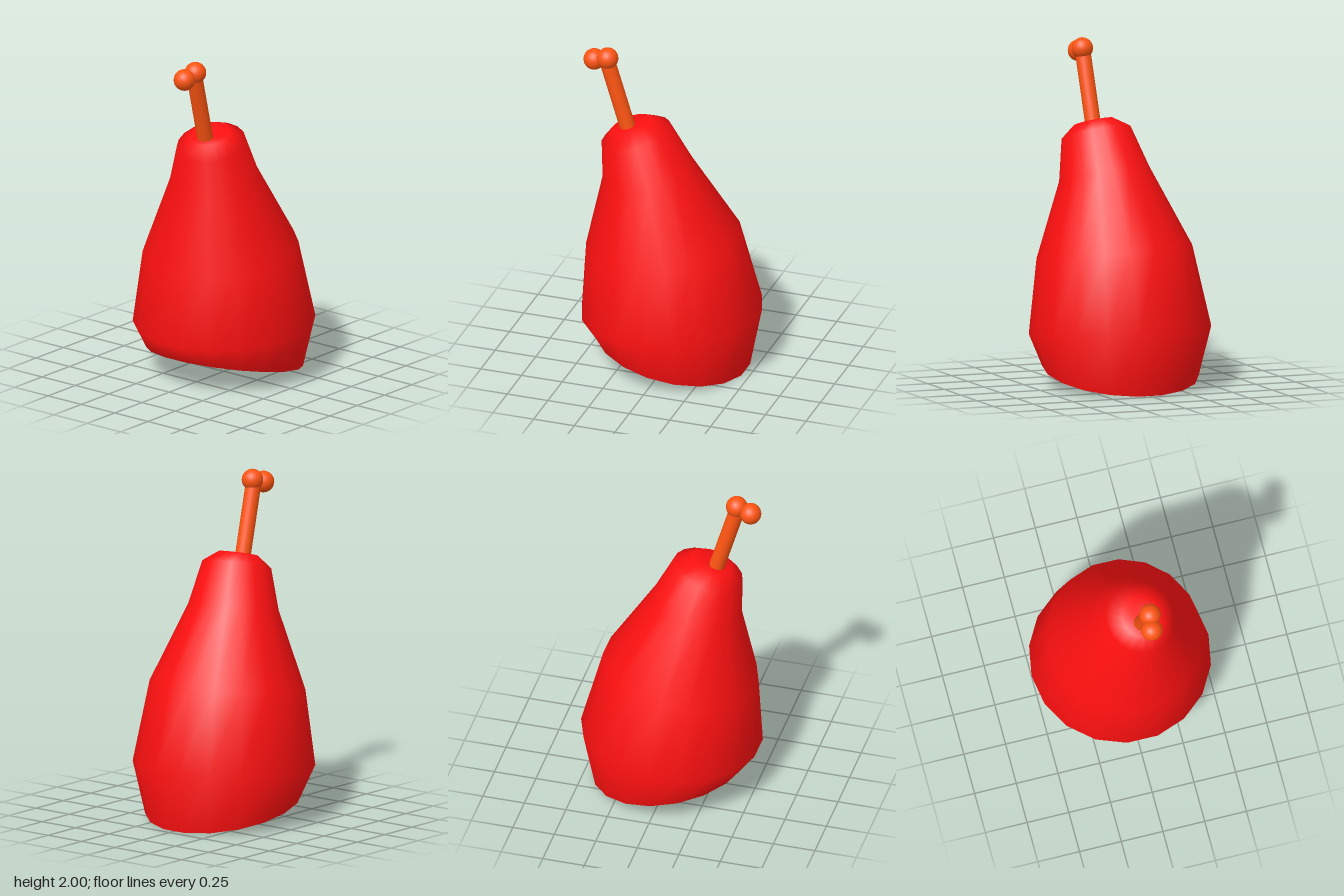
import * as THREE from 'three';

const SIDES = 18;
const paint = (color) => new THREE.MeshStandardMaterial({ color });

// A ring is a tilted circle: centre x, y, z, radius, rise towards +x, rise towards +z
const BODY = [
  [0, 0.093, -0.005, 0.455, 0, 0.0925],
  [0, 0.33, 0, 0.53, -0.01, -0.035],
  [0.015, 0.783, 0.05, 0.452, -0.0175, -0.065],
  [0.042, 1.228, 0.138, 0.262, -0.0225, -0.06],
  [0.068, 1.465, 0.2, 0.2, -0.0175, -0.06],
  [0.075, 1.525, 0.222, 0.115, -0.01, -0.035],
  [0.07, 1.505, 0.23, 0, 0, 0],
];

// Smooth skin through a list of rings
function loft(name, rings, material) {
  const position = [];
  const index = [];
  rings.forEach(([x, y, z, r, riseX, riseZ], i) => {
    for (let j = 0; j < SIDES; j++) {
      const c = Math.cos((j / SIDES) * Math.PI * 2);
      const s = Math.sin((j / SIDES) * Math.PI * 2);
      position.push(x + r * c, y + riseX * c + riseZ * s, z + r * s);
      if (i === 0) continue;
      const k = (j + 1) % SIDES;
      const a = (i - 1) * SIDES;
      const b = i * SIDES;
      index.push(a + j, b + j, a + k, a + k, b + j, b + k);
    }
  });
  const geometry = new THREE.BufferGeometry();
  geometry.setAttribute('position', new THREE.Float32BufferAttribute(position, 3));
  geometry.setIndex(index);
  geometry.computeVertexNormals();
  const mesh = new THREE.Mesh(geometry, material);
  mesh.name = name;
  return mesh;
}

// Circle lying in the slanted cut plane, slightly lowered if needed
function cutRing(x, z, r, drop = 0) {
  const [, y0, z0, r0, , rise] = BODY[0];
  const slope = rise / r0;
  return [x, y0 + slope * (z - z0) - drop, z, r, 0, slope * r];
}

export function createModel() {
  const group = new THREE.Group();
  const red = paint(0xff1010);
  const orange = paint(0xff5512);

  // Pear body with a dimple at the top
  group.add(loft('pearBody', BODY, red));

  // Slanted cut: peel rim, flesh and seed spot
  const z0 = BODY[0][2];
  group.add(loft('peelRim', [cutRing(0, z0, 0.42), BODY[0]], red));
  group.add(loft('cutFlesh', [cutRing(0, z0, 0), cutRing(0, z0, 0.42)], paint(0xbcb80c)));
  group.add(loft('seedSpot',
    [cutRing(-0.21, 0.09, 0, 0.003), cutRing(-0.21, 0.09, 0.085, 0.003)], paint(0xc83c0c)));

  // Leaning stem
  const base = new THREE.Vector3(0.065, 1.5, 0.25);
  const tip = new THREE.Vector3(0.082, 1.935, 0.375);
  const along = tip.clone().sub(base);
  const stem = new THREE.Mesh(
    new THREE.CylinderGeometry(0.046, 0.046, along.length(), 24), orange);
  stem.name = 'stem';
  stem.position.copy(base).add(tip).multiplyScalar(0.5);
  stem.quaternion.setFromUnitVectors(new THREE.Vector3(0, 1, 0), along.normalize());
  group.add(stem);

  // Two knobs at the end of the stem
  [[0.086, 1.937, 0.366], [0.074, 1.912, 0.452]].forEach((p, i) => {
    const knob = new THREE.Mesh(new THREE.SphereGeometry(0.063, 24, 16), orange);
    knob.name = i === 0 ? 'backStemKnob' : 'frontStemKnob';
    knob.position.set(...p);
    group.add(knob);
  });

  return group;
}
